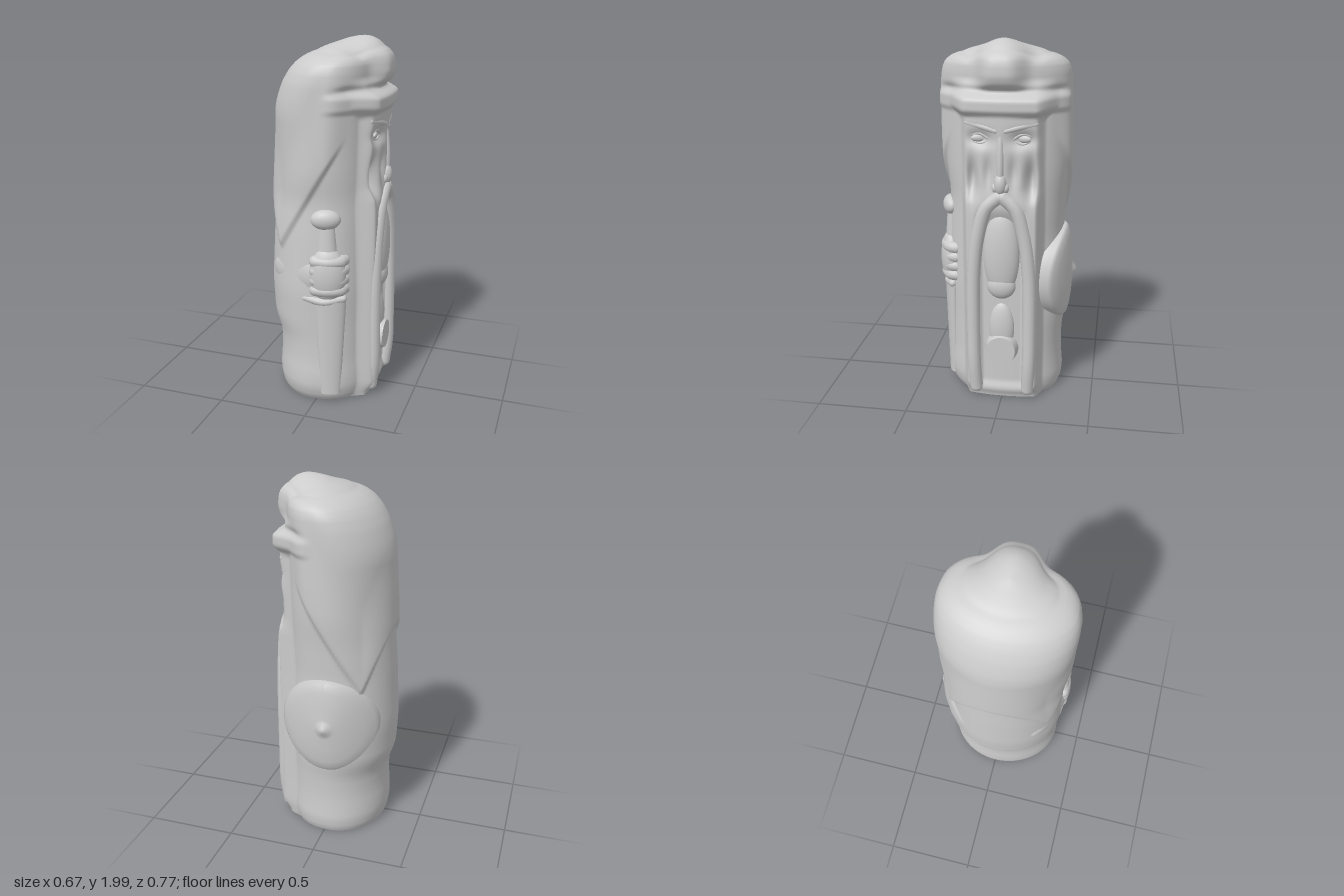
import * as THREE from 'three';

const mat = new THREE.MeshStandardMaterial({ color: 0xcccccc, side: THREE.DoubleSide });
const { smoothstep, lerp, clamp } = THREE.MathUtils;
const V = (p) => new THREE.Vector3(...p);
const TOP = 1.955;

// Column outline: y, back x, front x, -z half width, +z half width
const SECTIONS = [
  [0, 0.28, 0.24, 0.30, 0.31], [0.05, 0.30, 0.26, 0.32, 0.345], [0.15, 0.30, 0.26, 0.31, 0.35],
  [0.24, 0.29, 0.255, 0.305, 0.34], [0.37, 0.295, 0.255, 0.31, 0.34], [0.44, 0.33, 0.255, 0.325, 0.345],
  [0.65, 0.34, 0.255, 0.33, 0.355], [0.95, 0.325, 0.25, 0.31, 0.34], [1.15, 0.31, 0.25, 0.32, 0.325],
  [1.3, 0.305, 0.25, 0.335, 0.342], [1.45, 0.305, 0.25, 0.34, 0.35], [1.62, 0.305, 0.25, 0.345, 0.36],
  [1.72, 0.275, 0.25, 0.345, 0.362], [1.8, 0.235, 0.25, 0.34, 0.358], [1.86, 0.185, 0.25, 0.33, 0.34],
  [1.905, 0.125, 0.24, 0.29, 0.3], [1.935, 0.045, 0.21, 0.2, 0.2], [1.95, -0.03, 0.15, 0.1, 0.1], [TOP, -0.08, 0.08, 0, 0],
];
function rawSection(y) {
  let i = 0;
  while (i < SECTIONS.length - 2 && y > SECTIONS[i + 1][0]) i++;
  const [a, b] = [SECTIONS[i], SECTIONS[i + 1]];
  const t = clamp((y - a[0]) / (b[0] - a[0]), 0, 1);
  return a.map((v, k) => lerp(v, b[k], t));
}

// Outline softened over a small window of heights
function section(y) {
  const w = Math.min(0.045, y, TOP - y);
  const rows = [-1, -0.6, -0.2, 0.2, 0.6, 1].map((k) => rawSection(y + k * w));
  return rows[0].map((_, k) => rows.reduce((sum, r) => sum + r[k], 0) / rows.length);
}

const bump = (a, b) => Math.exp(-(a * a + b * b));

// Depth of the carved front panel: face, hollows and robe opening
function frontDepth(y, z) {
  const a = Math.abs(z);
  let x = lerp(0.265, 0.308, smoothstep(y, 0, 0.09)) - 0.5 * a * a;
  const face = smoothstep(y, 1.14, 1.24) * (1 - smoothstep(y, 1.6, 1.63));
  x -= face * (0.004 + 0.5 * a * a);
  x -= 0.03 * bump((y - 1.49) / 0.042, (a - 0.11) / 0.07);
  x -= 0.05 * bump((y - 1.28) / 0.1, (a - 0.155) / 0.03);
  x -= 0.022 * bump((y - 1.32) / 0.08, (a - 0.065) / 0.025);
  const opening = (1 - smoothstep(a, 0.1, 0.15)) * (1 - smoothstep(y, 1.0, 1.14)) * smoothstep(y, 0.03, 0.1);
  return x - 0.04 * opening;
}

// Lower edge of the hood: a pointed tip on each side, rising to front and back
function hoodEdge(x) {
  return x > -0.2 ? lerp(0.87, 1.38, clamp((x + 0.2) / 0.3, 0, 1.3)) : lerp(0.87, 1.22, (-0.2 - x) / 0.12);
}

function bodyPoint(level, theta) {
  const [, back, front, right, left] = section(level);
  const mid = (front - back) / 2, half = (front + back) / 2;
  const c = Math.cos(theta), s = Math.sin(theta);
  const squared = c > 0 ? 1 - 0.13 * smoothstep(c, 0, 0.3) : 1; // fuller front corners
  let x = mid + half * Math.sign(c) * Math.abs(c) ** squared, y = level;
  let z = Math.sign(s) * Math.abs(s) ** squared * (s > 0 ? left : right);
  const edge = hoodEdge(x);
  const hood = smoothstep(y, edge - 0.01, edge + 0.04) * (1 - smoothstep(y, edge + 0.05, edge + 0.5)) * (1 - smoothstep(x, 0.06, 0.17));
  const band = smoothstep(y, 1.61, 1.645) * (1 - smoothstep(y, 1.69, 1.73)) * smoothstep(x, 0.03, 0.12);
  const out = 0.02 * hood + 0.012 * band;
  x += c * out;
  z += s * out;
  if (c > 0) {
    const a = Math.abs(z);
    const w = (1 - smoothstep(a, 0.18, lerp(0.225, 0.29, smoothstep(y, 1.58, 1.66)))) * (1 - smoothstep(y, 1.68, 1.8));
    x = lerp(x, frontDepth(y, z) + 0.018 * band, w);
    x -= 0.02 * bump((y - 1.735) / 0.02, 0) * smoothstep(x, 0.05, 0.2);
    // Rounded ornament and crest swelling out of the cap
    x += 0.078 * bump(((y - 1.845) / 0.095) ** 2, (z / 0.115) ** 2) * smoothstep(x, 0.1, 0.2);
  }
  y += 0.045 * smoothstep(y, 1.84, 1.93) * bump((x - 0.2) / 0.13, z / 0.1);
  y -= 0.016 * smoothstep(y, 1.84, 1.92) * bump((x - 0.18) / 0.08, (Math.abs(z) - 0.17) / 0.05);
  return [x, y, z];
}

function buildBody() {
  const nu = 190, nv = 190, pos = [], idx = [];
  for (let j = 0; j <= nv; j++) {
    const y = TOP * (1 - (1 - j / nv) ** 1.4);
    for (let i = 0; i < nu; i++) {
      const t = (i / nu) * Math.PI * 2;
      pos.push(...bodyPoint(y, t - 0.55 * Math.sin(t))); // columns crowd towards the front
    }
  }
  for (let j = 0; j < nv; j++) for (let i = 0; i < nu; i++) {
    const a = j * nu + i, b = j * nu + ((i + 1) % nu);
    idx.push(a, a + nu, b, b, a + nu, b + nu);
  }
  const g = new THREE.BufferGeometry();
  g.setAttribute('position', new THREE.Float32BufferAttribute(pos, 3));
  g.setIndex(idx);
  g.computeVertexNormals();
  return g;
}

// Flat underside following the lowest outline
function buildBase() {
  const g = new THREE.CircleGeometry(1, 96), p = g.attributes.position;
  for (let i = 1; i < p.count; i++) p.setXYZ(i, ...bodyPoint(0, ((i - 1) / 96) * Math.PI * 2));
  g.computeVertexNormals();
  return g;
}

// Round shield, bent around the side of the body
function buildShield() {
  const profile = [[0.001, 0.042], [0.02, 0.038], [0.04, 0.025], [0.06, 0.02], [0.13, 0.016], [0.21, 0.006],
    [0.255, -0.006], [0.27, -0.022], [0.268, -0.09]].map((q) => new THREE.Vector2(...q));
  const g = new THREE.LatheGeometry(profile, 64).rotateX(-Math.PI / 2);
  const p = g.attributes.position;
  for (let i = 0; i < p.count; i++) {
    const x = p.getX(i);
    p.setZ(i, p.getZ(i) + x * x * (x > 0 ? 1.0 : 1.9));
  }
  g.computeVertexNormals();
  return g;
}

export function createModel() {
  const model = new THREE.Group();
  const add = (name, geo, pos = [0, 0, 0], rot = [0, 0, 0]) => {
    const m = new THREE.Mesh(geo, mat);
    m.name = name;
    m.position.set(...pos);
    m.rotation.set(...rot);
    model.add(m);
  };
  const blob = (name, pos, radii, rot) => add(name, new THREE.SphereGeometry(1, 28, 18).scale(...radii), pos, rot);
  const tube = (name, pts, r) => {
    add(name, new THREE.TubeGeometry(new THREE.CatmullRomCurve3(pts.map(V)), 28, r, 12));
    for (const end of [pts[0], pts[pts.length - 1]]) add(name + 'End', new THREE.SphereGeometry(r, 12, 8), end);
  };

  add('hoodedRobe', buildBody());
  add('base', buildBase());

  // Nose
  blob('noseBridge', [0.277, 1.4, 0], [0.04, 0.19, 0.024], [0, 0, 0.07]);
  blob('noseTip', [0.293, 1.26, 0], [0.038, 0.06, 0.034]);

  // Mirrored face parts and long moustache
  for (const s of [1, -1]) {
    blob('nostril', [0.285, 1.24, 0.028 * s], [0.03, 0.03, 0.02]);
    blob('eye', [0.262, 1.495, 0.115 * s], [0.014, 0.02, 0.042], [0, 0.25 * s, 0]);
    tube('upperEyelid', [[0.272, 1.492, 0.06 * s], [0.269, 1.52, 0.11 * s], [0.25, 1.503, 0.17 * s]], 0.009);
    tube('lowerEyelid', [[0.27, 1.486, 0.065 * s], [0.266, 1.468, 0.11 * s], [0.25, 1.49, 0.165 * s]], 0.007);
    tube('brow', [[0.287, 1.538, 0.025 * s], [0.28, 1.556, 0.09 * s], [0.256, 1.572, 0.175 * s]], 0.018);
    tube('moustache', [[0.292, 1.19, 0.01 * s], [0.292, 1.13, 0.075 * s], [0.288, 0.98, 0.122 * s],
      [0.285, 0.75, 0.15 * s], [0.285, 0.4, 0.155 * s], [0.285, 0.2, 0.152 * s], [0.27, 0.06, 0.145 * s]], 0.037);
  }

  // Beard and hanging pouch
  blob('beard', [0.268, 0.865, 0], [0.055, 0.245, 0.098]);
  blob('beardTip', [0.272, 0.685, 0], [0.045, 0.075, 0.078]);
  blob('pouchStrap', [0.262, 0.43, 0], [0.038, 0.15, 0.07]);
  add('pouch', new THREE.CylinderGeometry(0.08, 0.095, 0.06, 40).rotateZ(-Math.PI / 2), [0.285, 0.31, 0]);

  // Arm gripping the hilt
  const arm = new THREE.SphereGeometry(1, 32, 24);
  add('sleeve', arm.clone().scale(0.2, 0.13, 0.075), [-0.08, 0.75, 0.27], [0, -0.32, 0]);
  add('fist', arm.scale(0.1, 0.155, 0.06), [0.07, 0.765, 0.317], [0, 0.25, 0]);
  for (let i = 0; i < 4; i++) {
    const y = 0.68 + i * 0.054;
    tube('finger', [[0.01, y, 0.342], [0.08, y, 0.338], [0.135, y, 0.305], [0.145, y, 0.27]], 0.034);
  }

  // Sword: grip, pommel, guard and scabbard
  add('swordGrip', new THREE.CylinderGeometry(0.042, 0.062, 0.22, 24).scale(1, 1, 0.8), [0.06, 0.97, 0.3]);
  blob('pommel', [0.06, 1.07, 0.315], [0.08, 0.055, 0.045], [0, 0.3, 0]);
  tube('guard', [[-0.05, 0.625, 0.335], [0.06, 0.615, 0.34], [0.15, 0.63, 0.297]], 0.023);
  const scabbard = new THREE.CylinderGeometry(0.085, 0.055, 0.56, 32).scale(1, 1, 0.45);
  add('scabbard', scabbard, [0.085, 0.335, 0.312], [0, 0.35, 0]);

  add('shield', buildShield(), [-0.02, 0.69, -0.343]);
  return model;
}
